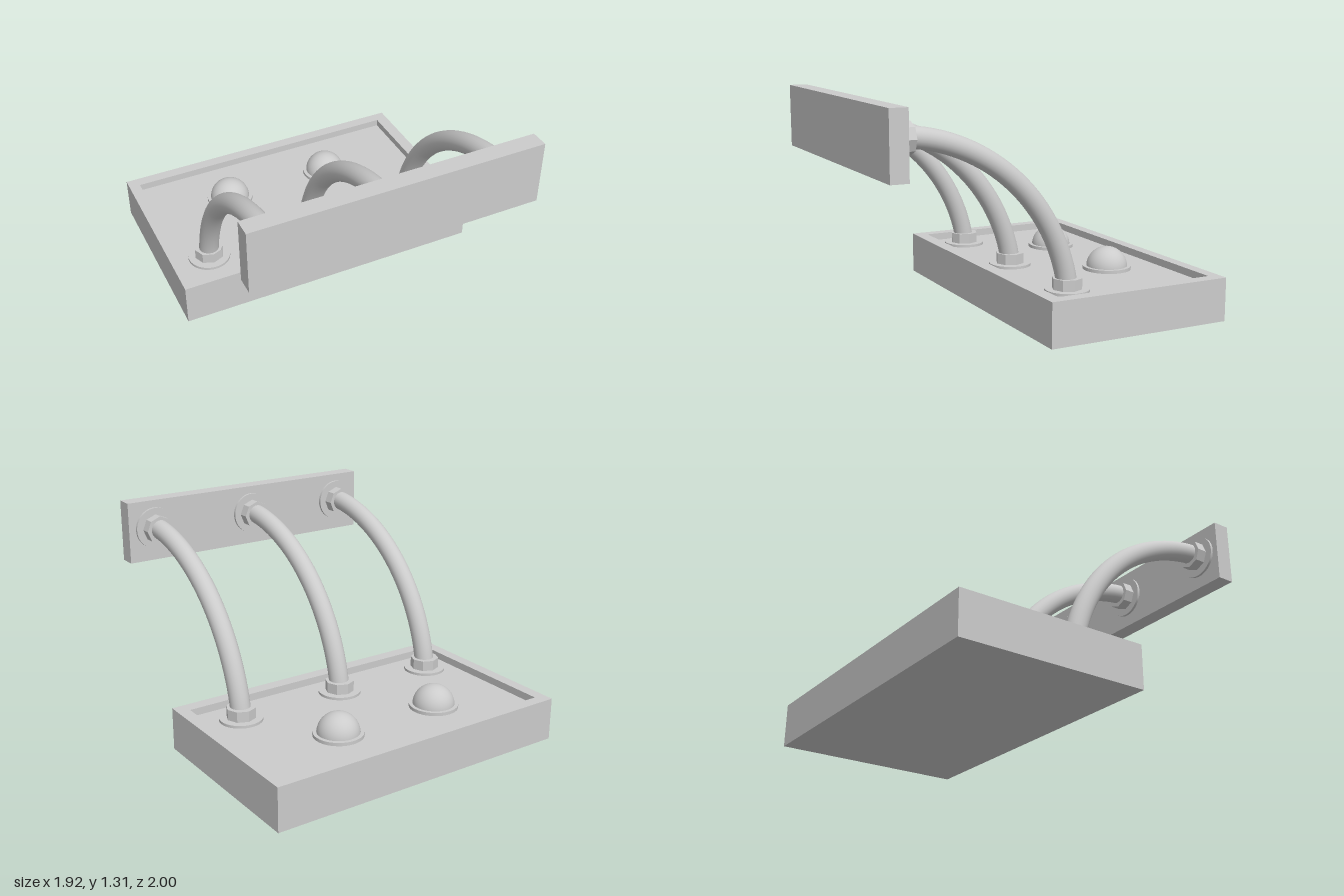
import * as THREE from 'three';

const FLOOR = 0.215;      // bottom of the tray recess
const PLATE_BACK = 0.895; // rear face of the upright plate
const ARM_X = [-0.71, -0.04, 0.655];

export function createModel() {
  const model = new THREE.Group();
  const smooth = new THREE.MeshStandardMaterial({ color: 0xcccccc });
  const flat = new THREE.MeshStandardMaterial({ color: 0xcccccc, flatShading: true });

  const add = (parent, name, geometry, material, x = 0, y = 0, z = 0) => {
    const mesh = new THREE.Mesh(geometry, material);
    mesh.name = name;
    mesh.position.set(x, y, z);
    parent.add(mesh);
    return mesh;
  };
  const group = (name) => {
    const g = new THREE.Group();
    g.name = name;
    model.add(g);
    return g;
  };
  const rectangle = (shape, x0, x1, y0, y1) => {
    shape.moveTo(x0, y0);
    shape.lineTo(x1, y0);
    shape.lineTo(x1, y1);
    shape.lineTo(x0, y1);
    shape.closePath();
    return shape;
  };

  // Base block with a raised rim around a shallow recess
  const base = group('base');
  add(base, 'baseBlock', new THREE.BoxGeometry(1.92, FLOOR, 1.15), flat, 0, FLOOR / 2, -0.425);
  const rim = rectangle(new THREE.Shape(), -0.96, 0.96, -0.15, 1);
  rim.holes.push(rectangle(new THREE.Path(), -0.89, 0.885, -0.07, 0.93));
  const rimGeometry = new THREE.ExtrudeGeometry(rim, { depth: 0.26 - FLOOR, bevelEnabled: false });
  rimGeometry.rotateX(-Math.PI / 2);
  add(base, 'baseRim', rimGeometry, flat, 0, FLOOR, 0);

  // Upright plate at the front
  add(model, 'frontPlate', new THREE.BoxGeometry(1.705, 0.38, 0.105), flat, -0.0225, 1.12, 0.9475);

  // Round buttons set in collars
  for (const x of [-0.38, 0.31]) {
    const button = group('button');
    button.position.set(x, FLOOR, -0.605);
    add(button, 'buttonCollar', new THREE.CylinderGeometry(0.147, 0.147, 0.02, 40), smooth, 0, 0.01, 0);
    add(button, 'buttonDome',
      new THREE.SphereGeometry(0.125, 40, 16, 0, Math.PI * 2, 0, Math.PI / 2), smooth, 0, 0.0125, 0);
  }

  // Washer and eight-sided nut, rising along +y from the mounting face
  const fitting = (parent, name) => {
    const g = new THREE.Group();
    g.name = name;
    add(g, 'washer', new THREE.CylinderGeometry(0.129, 0.129, 0.016, 40), smooth, 0, 0.008, 0);
    add(g, 'nut', new THREE.CylinderGeometry(0.088, 0.088, 0.064, 8), flat, 0, 0.048, 0);
    parent.add(g);
    return g;
  };

  // Curved arms joining the base to the plate
  const radius = 1.075;
  const path = new THREE.CatmullRomCurve3(Array.from({ length: 13 }, (_, i) => {
    const a = THREE.MathUtils.lerp(0.138, 1.515, i / 12);
    return new THREE.Vector3(0, 0.072 + radius * Math.sin(a), 0.94 - radius * Math.cos(a));
  }));
  const tube = new THREE.TubeGeometry(path, 32, 0.06, 24);
  for (const x of ARM_X) {
    const arm = group('arm');
    arm.position.x = x;
    add(arm, 'armTube', tube, smooth);
    fitting(arm, 'baseFitting').position.set(0, FLOOR, -0.12);
    const upper = fitting(arm, 'plateFitting');
    upper.position.set(0, 1.135, PLATE_BACK);
    upper.rotation.x = -Math.PI / 2;
  }

  return model;
}
